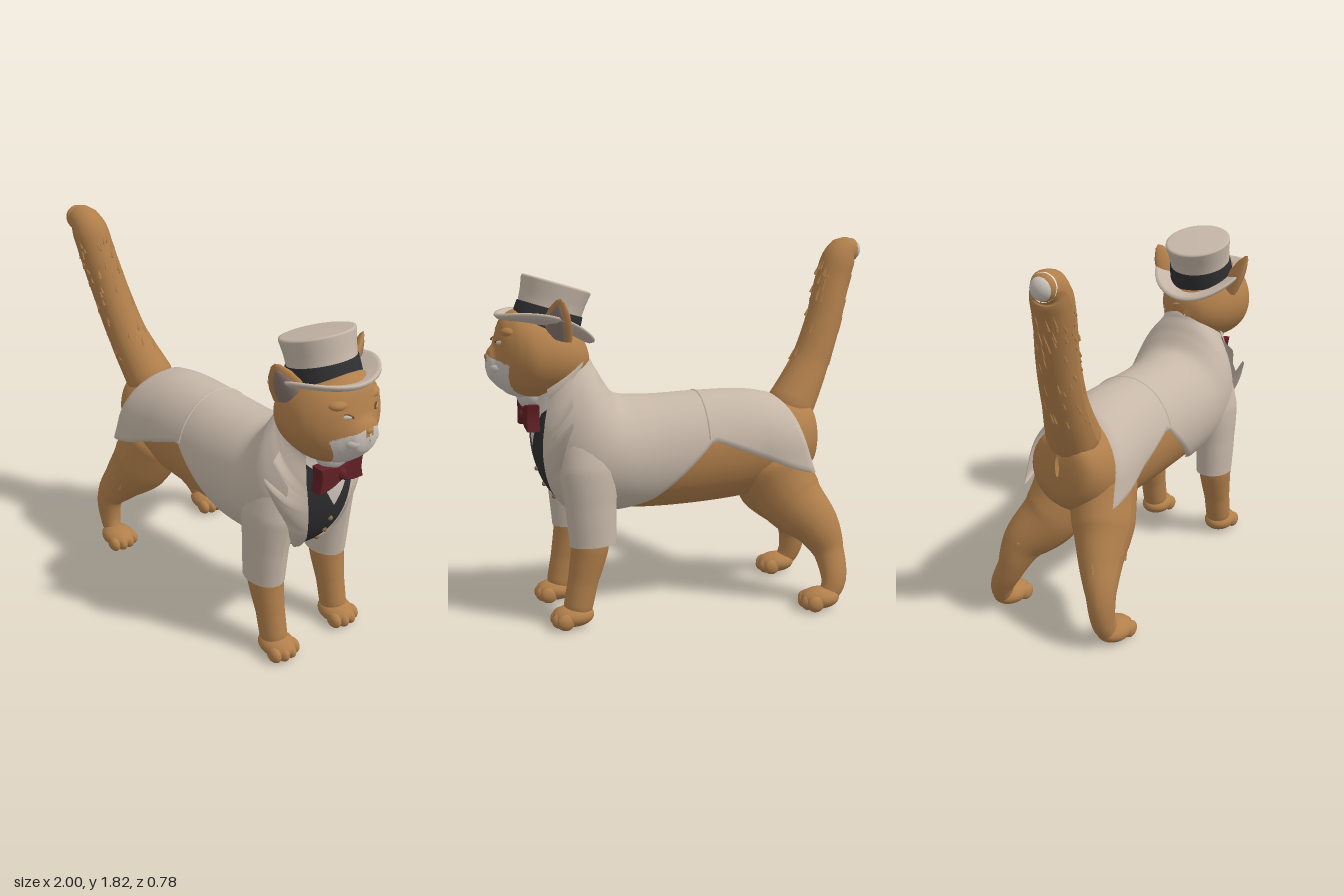
import * as THREE from 'three';
import { mergeGeometries } from 'three/addons/utils/BufferGeometryUtils.js';

const mat = (name, color, side = THREE.FrontSide) => {
  const m = new THREE.MeshStandardMaterial({ color, side });
  m.name = name;
  return m;
};
const M = {
  fur: mat('ginger fur', 0xb17f4b),
  dark: mat('dark fur', 0x6b4828),
  white: mat('white fur', 0xcac2b9),
  coat: mat('cream cloth', 0xc6b7a8, THREE.DoubleSide),
  shirt: mat('shirt', 0xd0c8bf, THREE.DoubleSide),
  vest: mat('black cloth', 0x2f2f31, THREE.DoubleSide),
  bow: mat('dark red silk', 0x5f1f25),
  ear: mat('inner ear', 0x85736a),
  button: mat('button', 0x8a6a48),
};
const ZC = 0.05; // body centre line
const HZ = 0.075; // head centre line
const { clamp, lerp } = THREE.MathUtils;

// Body sections, rump to neck: back x, back y, belly x, belly y, half width
const SECTIONS = [
  [-0.665, 0.9, -0.665, 0.8, 0.01], [-0.63, 0.99, -0.64, 0.66, 0.15],
  [-0.5, 1.01, -0.5, 0.56, 0.21], [-0.3, 1.05, -0.3, 0.53, 0.225],
  [-0.05, 1.055, -0.05, 0.51, 0.225], [0.25, 1.05, 0.25, 0.51, 0.235],
  [0.4, 1.07, 0.45, 0.53, 0.255], [0.46, 1.14, 0.62, 0.56, 0.26],
  [0.49, 1.19, 0.72, 0.66, 0.24], [0.51, 1.22, 0.775, 0.8, 0.2],
  [0.52, 1.24, 0.79, 0.93, 0.16], [0.54, 1.27, 0.78, 1.03, 0.13],
  [0.56, 1.3, 0.78, 1.12, 0.118],
];
// Angle from the spine at which the coat ends, and lapel width, per section
const COAT_EDGE = [2.3, 2.3, 1.95, 1.68, 1.29, 2.35, 2.85, 2.9, 2.76, 2.52, 2.28, 2.15, 2.1];
const LAPEL = [0, 0, 0, 0, 0, 0, 0, 0.04, 0.4, 0.88, 0.85, 0.8, 0.8];

const lerpAt = (list, s) => {
  const i = Math.min(Math.floor(s), list.length - 2);
  return lerp(list[i], list[i + 1], s - i);
};
const backLine = new THREE.CatmullRomCurve3(SECTIONS.map(p => new THREE.Vector3(p[0], p[1], p[4])));
const bellyLine = new THREE.CatmullRomCurve3(SECTIONS.map(p => new THREE.Vector3(p[2], p[3], 0)));

// hang makes the lower half drop straight down instead of tucking under
function bodyPoint(s, angle, offset = 0, hang = 0) {
  const t = clamp(s / (SECTIONS.length - 1), 0, 1);
  const a = backLine.getPoint(t), b = bellyLine.getPoint(t);
  const half = new THREE.Vector3((a.x - b.x) / 2, (a.y - b.y) / 2, 0);
  half.setLength(half.length() + offset).multiplyScalar(Math.cos(angle));
  let across = Math.sin(angle);
  if (Math.cos(angle) < 0) across = lerp(across, Math.sign(across), hang);
  return new THREE.Vector3((a.x + b.x) / 2, (a.y + b.y) / 2, ZC + (a.z + offset) * across).add(half);
}

// Grid surface; point(u, v) gives a Vector3
function surface(nu, nv, point) {
  const pos = [], index = [];
  for (let i = 0; i <= nu; i++) for (let j = 0; j <= nv; j++) {
    pos.push(...point(i / nu, j / nv).toArray());
    if (i < nu && j < nv) {
      const a = i * (nv + 1) + j, b = a + nv + 1;
      index.push(a, a + 1, b, a + 1, b + 1, b);
    }
  }
  const g = new THREE.BufferGeometry();
  g.setAttribute('position', new THREE.Float32BufferAttribute(pos, 3));
  g.setIndex(index);
  g.computeVertexNormals();
  return g;
}
const bodyPatch = (nu, nv, rule) => surface(nu, nv, (u, v) => bodyPoint(...rule(u, v)));

// Tapered limb along points [x, y, z, radius]; flat squeezes it sideways
function limbGeometry(points, flat = 1) {
  const curve = new THREE.CatmullRomCurve3(points.map(p => new THREE.Vector3(p[0], p[1], p[2])));
  const radii = points.map(p => p[3]);
  const g = new THREE.TubeGeometry(curve, 40, 1, 20);
  const p = g.attributes.position, n = g.attributes.normal, uv = g.attributes.uv;
  for (let i = 0; i < p.count; i++) {
    const r = lerpAt(radii, curve.getUtoTmapping(uv.getX(i)) * (radii.length - 1));
    p.setXYZ(i, p.getX(i) + n.getX(i) * (r - 1), p.getY(i) + n.getY(i) * (r - 1),
      p.getZ(i) + n.getZ(i) * (r * flat - 1));
  }
  g.computeVertexNormals();
  return g;
}

// Head lofted back to front (x, top, bottom, half width); white muzzle is a second group
function headGeometry() {
  const rings = [[0.505, 1.26, 1.24, 0.005], [0.53, 1.34, 1.18, 0.1], [0.6, 1.42, 1.12, 0.175], [0.7, 1.48, 1.09, 0.222],
    [0.8, 1.5, 1.08, 0.228], [0.86, 1.5, 1.09, 0.2], [0.9, 1.48, 1.105, 0.165], [0.925, 1.455, 1.125, 0.135],
    [0.945, 1.4, 1.14, 0.105], [0.962, 1.345, 1.158, 0.085], [0.985, 1.315, 1.185, 0.062], [1, 1.28, 1.235, 0.005]];
  const top = new THREE.CatmullRomCurve3(rings.map(r => new THREE.Vector3(r[0], r[1], r[3])));
  const low = new THREE.CatmullRomCurve3(rings.map(r => new THREE.Vector3(r[0], r[2], 0)));
  const g = surface(140, 100, (u, v) => {
    const a = top.getPoint(u), b = low.getPoint(u), t = v * Math.PI * 2;
    return new THREE.Vector3(a.x, lerp(b.y, a.y, (1 + Math.cos(t)) / 2), a.z * Math.sin(t));
  });
  const p = g.attributes.position, ids = g.index.array, fur = [], white = [];
  for (let i = 0; i < ids.length; i += 3) {
    const tri = [ids[i], ids[i + 1], ids[i + 2]];
    const [x, y, z] = ['getX', 'getY', 'getZ'].map(f => tri.reduce((sum, k) => sum + p[f](k) / 3, 0));
    const d = Math.abs(z);
    const isWhite = x > 0.82 + 0.4 * (y - 1.15) && d < 0.15 - 0.4 * Math.max(0, 1.25 - y)
      && y < (d < 0.022 ? 1.262 : 1.305 - 0.35 * d);
    (isWhite ? white : fur).push(...tri);
  }
  g.setIndex([...fur, ...white]);
  g.addGroup(0, fur.length, 0);
  g.addGroup(fur.length, white.length, 1);
  return g;
}

export function createModel() {
  const root = new THREE.Group();
  const add = (name, geo, material, parent = root) => {
    const m = new THREE.Mesh(geo, material);
    m.name = name;
    parent.add(m);
    return m;
  };
  const ball = (name, material, x, y, z, rx, ry = rx, rz = rx, parent = root) => {
    const m = add(name, new THREE.SphereGeometry(1, 28, 20), material, parent);
    m.position.set(x, y, z);
    m.scale.set(rx, ry, rz);
    return m;
  };
  const lathe = pts => new THREE.LatheGeometry(pts.map(p => new THREE.Vector2(...p)), 48);

  // Body
  add('body', bodyPatch(60, 40, (u, v) => [u * 12, v * Math.PI * 2, 0]), M.fur);

  // Coat, with hanging swallow tails and edges turned in
  add('coat', bodyPatch(90, 60, (u, v) => {
    const t = v * 2 - 1, rear = 2.3 - 0.85 * Math.abs(t) ** 1.3;
    const s = rear + (12 - rear) * u;
    const flare = 0.045 * clamp((3 - s) / 1.5, 0, 1) * t * t;
    const edge = Math.abs(t) > 0.98 || u < 0.005;
    return [s, t * lerpAt(COAT_EDGE, s), (edge ? 0.012 : 0.022) + flare, clamp((4 - s) / 1.5, 0, 1)];
  }), M.coat);
  add('coatCollar', bodyPatch(8, 40, (u, v) => [11 + u, (v * 2 - 1) * 2.1, 0.03 + 0.01 * Math.sin(u * Math.PI)]), M.coat);
  add('coatSeam', bodyPatch(4, 40, (u, v) => [4.04 + 0.06 * u, (v * 2 - 1) * 1.27, 0.018 + 0.009 * Math.sin(u * Math.PI)]), M.coat);

  // Shirt front, waistcoat halves and lapels
  add('shirt', bodyPatch(24, 20, (u, v) => [8.6 + 3.4 * u, Math.PI + (v * 2 - 1) * 1.1, 0.008]), M.shirt);
  for (const k of [1, -1]) {
    const side = k > 0 ? 'left' : 'right';
    const strip = (a, b, v) => k * (k > 0 ? a + (b - a) * v : b + (a - b) * v);
    add(side + 'Waistcoat', bodyPatch(24, 8, (u, v) => {
      const s = 6.8 + 3.9 * u, outer = lerpAt(COAT_EDGE, s) - 0.12;
      const open = Math.max(0, s - 9.25) * 0.48;
      return [s, strip(outer, Math.max(outer, Math.PI - open), v), 0.019];
    }), M.vest);
    add(side + 'Lapel', bodyPatch(60, 10, (u, v) => {
      const s = 7 + 5 * u, inner = lerpAt(COAT_EDGE, s) + 0.02;
      const notch = s > 9.2 && s < 9.55 ? 0.5 : 1;
      const lift = 0.075 * Math.max(0, 1 - Math.abs(s - 9.1) / 0.8) * (k > 0 ? 1 - v : v) * notch;
      return [s, strip(inner - lerpAt(LAPEL, s) * notch, inner, v), 0.036 + lift];
    }), M.coat);

    // Sleeve and front leg
    const z = d => ZC + k * d;
    add(side + 'Sleeve', limbGeometry([[0.58, 1.01, z(0.11), 0.06], [0.575, 0.92, z(0.148), 0.125],
      [0.565, 0.75, z(0.185), 0.142], [0.56, 0.58, z(0.198), 0.122], [0.553, 0.4, z(0.2), 0.112]], 0.8), M.coat);
    add(side + 'FrontLeg', limbGeometry([[0.555, 0.55, z(0.2), 0.09], [0.57, 0.38, z(0.2), 0.09],
      [0.605, 0.22, z(0.2), 0.073], [0.63, 0.1, z(0.2), 0.07], [0.645, 0.04, z(0.2), 0.055]], 0.92), M.fur);
    paw(side + 'FrontPaw', 0.655, z(0.2));

    // Hind leg
    const foot = k > 0 ? 0.25 : 0.36, mid = (0.19 + foot) / 2;
    const fx = k > 0 ? -0.6 : -0.575;
    add(side + 'HindLeg', limbGeometry([[-0.38, 0.86, z(0.07), 0.09], [-0.42, 0.69, z(0.09), 0.185],
      [-0.5, 0.52, z(0.14), 0.168], [-0.6, 0.385, z(mid - 0.035), 0.118], [fx - 0.073, 0.26, z(mid + 0.01), 0.078],
      [fx - 0.07, 0.13, z(foot - 0.01), 0.063], [fx - 0.03, 0.05, z(foot), 0.05]], 0.83), M.fur);
    paw(side + 'HindPaw', fx + 0.01, z(foot));
  }
  for (const s of [7.6, 8.15, 8.7]) {
    const p = bodyPoint(s, Math.PI, 0.021);
    ball('button', M.button, p.x, p.y, p.z, 0.012);
  }

  // Paw with four toes
  function paw(name, x, z) {
    const g = new THREE.Group();
    g.name = name;
    root.add(g);
    ball('pad', M.fur, x, 0.055, z, 0.1, 0.053, 0.08, g);
    [-0.058, -0.021, 0.021, 0.058].forEach((d, i) =>
      ball('toe', M.fur, x + (i % 3 ? 0.065 : 0.048), 0.042, z + d, 0.043, 0.04, 0.027, g));
  }

  // Tail with pale tip
  const tail = [[-0.46, 0.84, 0.05, 0.09], [-0.555, 0.97, 0.07, 0.125], [-0.68, 1.18, 0.11, 0.1], [-0.77, 1.4, 0.14, 0.093],
    [-0.83, 1.6, 0.17, 0.09], [-0.865, 1.7, 0.18, 0.09], [-0.9, 1.75, 0.19, 0.078], [-0.95, 1.762, 0.2, 0.06]];
  add('tail', limbGeometry(tail), M.fur);
  ball('tailEnd', M.fur, -0.95, 1.762, 0.2, 0.035, 0.058, 0.058);
  ball('tailTip', M.white, -0.959, 1.76, 0.2, 0.041, 0.051, 0.051);

  // Small raised tufts on the tail and thighs
  let seed = 7;
  const rnd = () => (seed = (seed * 16807) % 2147483647) / 2147483647;
  const tufts = [];
  const tuft = (x, y, z, r, flat, a, tilt) => {
    const g = new THREE.ConeGeometry(0.008, 0.06, 5);
    g.rotateZ(tilt);
    g.translate(x + Math.cos(a) * r, y, z + Math.sin(a) * r * flat);
    tufts.push(g);
  };
  for (let i = 0; i < 90; i++) {
    const t = 1.6 + rnd() * 3, a = rnd() * 6.28;
    const [x, y, z, r] = [0, 1, 2, 3].map(c => lerpAt(tail.map(p => p[c]), t));
    tuft(x, y + Math.cos(a) * r * 0.35, z, r * 0.95, 1, a, 0.4);
  }
  for (let i = 0; i < 60; i++) {
    const k = i % 2 ? 1 : -1, h = rnd();
    tuft(-0.46 - 0.12 * h, 0.61 - 0.2 * h, ZC + k * (0.11 + 0.06 * h), 0.165 - 0.03 * h, 0.84, k * (0.9 + rnd() * 1.9), -0.5);
  }
  add('furTufts', mergeGeometries(tufts), M.fur);

  // Head
  const head = new THREE.Group();
  head.name = 'head';
  head.position.z = HZ;
  root.add(head);
  const part = (name, m, ...v) => ball(name, m, ...v, head);
  add('face', headGeometry(), [M.fur, M.white], head);
  part('bib', M.white, 0.795, 1.11, 0, 0.065, 0.085, 0.095);
  part('nose', M.fur, 0.985, 1.285, 0, 0.018, 0.016, 0.022);
  for (const k of [1, -1]) {
    part('whiskerPad', M.white, 0.94, 1.236, k * 0.045, 0.05, 0.036, 0.05);
    part('brow', M.fur, 0.885, 1.4, k * 0.085, 0.05, 0.03, 0.06);
    // Narrow eye under a dark lid line
    const eye = new THREE.Group();
    eye.name = 'eye';
    eye.position.set(0.934, 1.352, k * 0.092);
    eye.rotation.y = Math.PI / 2 - k * 0.75;
    head.add(eye);
    add('lidLine', new THREE.TorusGeometry(0.036, 0.005, 6, 16, Math.PI), M.dark, eye).scale.y = 0.45;
    ball('eyeSlit', M.white, 0, 0.003, 0, 0.032, 0.011, 0.008, eye);
    // Ear
    const ear = new THREE.Group();
    ear.name = 'ear';
    ear.position.set(0.69, 1.385, k * 0.165);
    ear.rotation.set(k * 0.5, k > 0 ? 0.7 : Math.PI - 0.7, 0);
    head.add(ear);
    const earProfile = [[0.078, 0], [0.072, 0.07], [0.052, 0.135], [0.022, 0.185], [0, 0.2]];
    add('earOuter', lathe(earProfile), M.fur, ear).scale.z = 0.42;
    const inner = add('earInner', lathe(earProfile), M.ear, ear);
    inner.scale.set(0.74, 0.84, 0.36);
    inner.position.set(0, 0.005, 0.012);
  }

  // Top hat, tipped back, brim curled up at the sides
  const hat = new THREE.Group();
  hat.name = 'hat';
  hat.position.set(0.72, 1.4, HZ - 0.01);
  hat.rotation.z = 0.29;
  root.add(hat);
  add('crown', lathe([[0.16, 0], [0.153, 0.1], [0.158, 0.16], [0.168, 0.218], [0.166, 0.226], [0.155, 0.229], [0, 0.231]]), M.coat, hat);
  add('hatBand', lathe([[0.166, 0.01], [0.159, 0.105], [0.15, 0.107]]), M.vest, hat);
  const brim = lathe([[0.12, -0.006], [0.225, -0.006], [0.243, 0.004], [0.243, 0.016], [0.225, 0.02], [0.12, 0.012]]);
  const bp = brim.attributes.position;
  for (let i = 0; i < bp.count; i++) bp.setY(i, bp.getY(i) + 1.1 * bp.getZ(i) ** 2);
  brim.computeVertexNormals();
  add('brim', brim, M.coat, hat);

  // Bow tie
  const bow = new THREE.Group();
  bow.name = 'bowTie';
  bow.position.set(0.785, 1.0, 0.055);
  bow.rotation.y = Math.PI / 2;
  root.add(bow);
  const wing = new THREE.Shape();
  wing.moveTo(0, 0.025);
  wing.quadraticCurveTo(0.06, 0.06, 0.125, 0.06);
  wing.quadraticCurveTo(0.11, 0, 0.128, -0.055);
  wing.quadraticCurveTo(0.06, -0.055, 0, -0.025);
  const wingGeo = new THREE.ExtrudeGeometry(wing, { depth: 0.045, bevelSize: 0.006, bevelThickness: 0.008, bevelSegments: 2 });
  add('bowWing', wingGeo, M.bow, bow);
  const other = add('bowWing', wingGeo, M.bow, bow);
  other.rotation.y = Math.PI;
  other.position.z = 0.045;
  ball('knot', M.bow, 0, 0, 0.04, 0.026, 0.032, 0.03, bow);

  return root;
}
